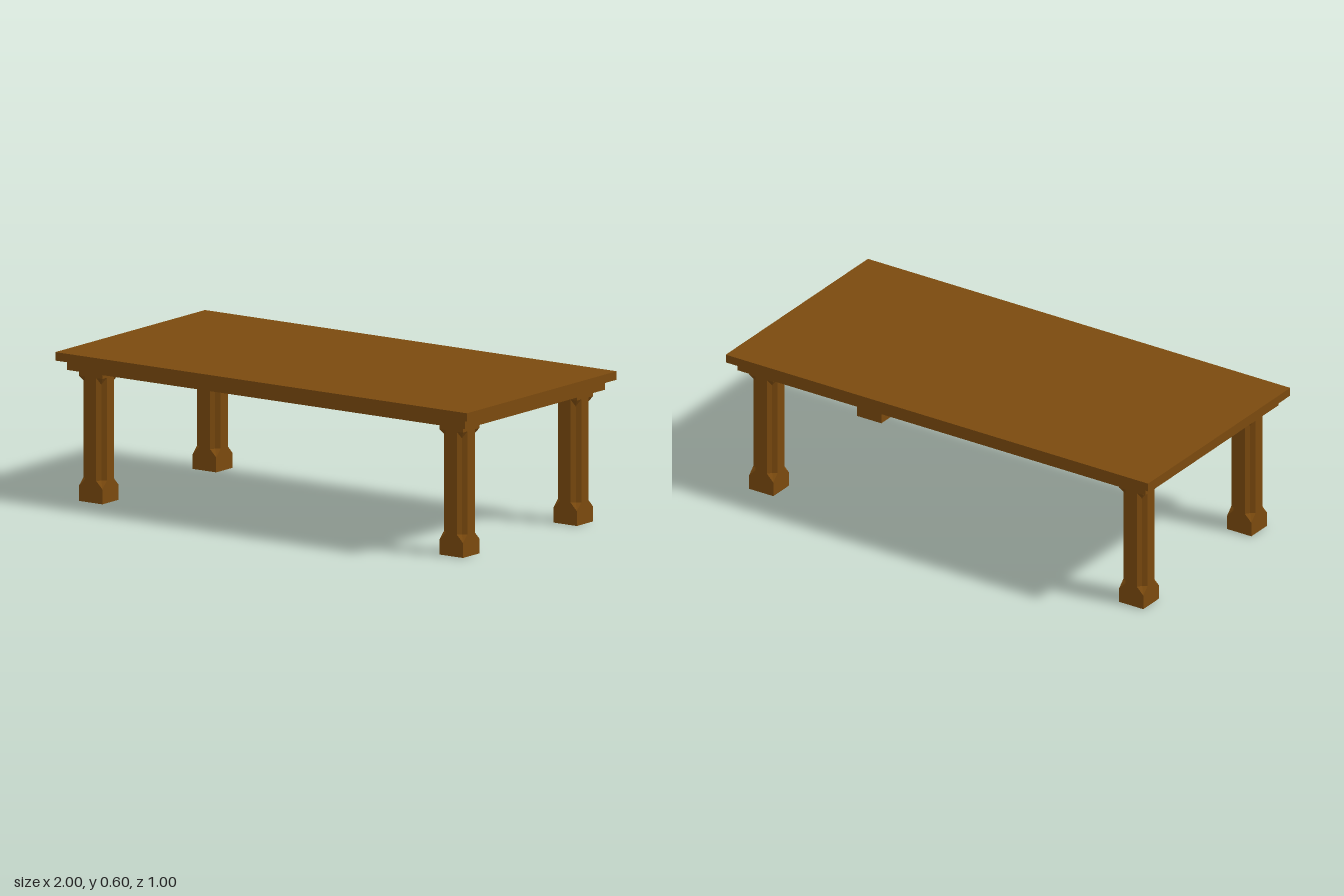
import * as THREE from 'three';

const wood = new THREE.MeshStandardMaterial({ color: 0x7b4a0e });
wood.name = 'brown wood';

const HX = 0.057, HZ = 0.0545; // half sizes of a leg
const CUT = 0.03; // width of the corner notch on each face

// Cross-section of a leg: square whose corners are notched in by depth d
function legSection(d) {
  const points = [];
  for (const [sx, sz] of [[1, 1], [1, -1], [-1, -1], [-1, 1]]) {
    const a = [sx * (HX - CUT), sz * HZ];
    const b = [sx * HX, sz * (HZ - CUT)];
    const corner = [sx * (HX - d), sz * (HZ - d)];
    points.push(...(sx * sz > 0 ? [a, corner, b] : [b, corner, a]));
  }
  return points;
}

// Leg lofted through its sections: square foot, notched shaft, square head
function legGeometry() {
  const levels = [[0, 0], [0.06, 0], [0.09, 0.018], [0.475, 0.018], [0.503, 0], [0.566, 0]];
  const rings = levels.map(([y, d]) => legSection(d).map(([x, z]) => [x, y, z]));
  const pos = [];
  const tri = (a, b, c) => pos.push(...a, ...b, ...c);
  const n = rings[0].length;
  for (let i = 0; i < n; i++) {
    const j = (i + 1) % n;
    for (let k = 0; k < rings.length - 1; k++) {
      const lo = rings[k], hi = rings[k + 1];
      // mirror the diagonal on alternate sides so the notch stops match
      if (i % 3 === 0) {
        tri(lo[i], lo[j], hi[i]);
        tri(lo[j], hi[j], hi[i]);
      } else {
        tri(lo[i], lo[j], hi[j]);
        tri(lo[i], hi[j], hi[i]);
      }
    }
    tri([0, 0, 0], rings[0][j], rings[0][i]);
    tri([0, 0.566, 0], rings[5][i], rings[5][j]);
  }
  const geo = new THREE.BufferGeometry();
  geo.setAttribute('position', new THREE.Float32BufferAttribute(pos, 3));
  // sections run clockwise seen from above, so flip every face outward
  const check = new THREE.Vector3(), a = new THREE.Vector3(), b = new THREE.Vector3();
  a.set(...rings[1][0]).sub(new THREE.Vector3(...rings[0][0]));
  b.set(...rings[0][2]).sub(new THREE.Vector3(...rings[0][0]));
  check.crossVectors(b, a);
  if (check.x + check.z < 0) {
    const p = geo.attributes.position;
    for (let i = 0; i < p.count; i += 3) {
      const x = p.getX(i), y = p.getY(i), z = p.getZ(i);
      p.setXYZ(i, p.getX(i + 1), p.getY(i + 1), p.getZ(i + 1));
      p.setXYZ(i + 1, x, y, z);
    }
  }
  geo.computeVertexNormals();
  return geo;
}

function rectangle(path, x, z) {
  path.moveTo(-x, -z);
  path.lineTo(x, -z);
  path.lineTo(x, z);
  path.lineTo(-x, z);
  path.closePath();
  return path;
}

export function createModel() {
  const model = new THREE.Group();
  model.name = 'table';
  const add = (geo, name) => {
    const mesh = new THREE.Mesh(geo, wood);
    mesh.name = name;
    model.add(mesh);
    return mesh;
  };

  // Table top
  add(new THREE.BoxGeometry(2, 0.034, 1), 'tableTop').position.y = 0.583;

  // Open apron frame under the top
  const frame = rectangle(new THREE.Shape(), 0.966, 0.467);
  frame.holes.push(rectangle(new THREE.Path(), 0.934, 0.435));
  const apron = new THREE.ExtrudeGeometry(frame, { depth: 0.039, bevelEnabled: false });
  apron.rotateX(-Math.PI / 2);
  add(apron, 'apron').position.y = 0.527;

  // Four legs in the corners of the frame
  const leg = legGeometry();
  for (const sx of [1, -1]) {
    for (const sz of [1, -1]) {
      const name = (sz > 0 ? 'front' : 'back') + (sx > 0 ? 'Left' : 'Right') + 'Leg';
      add(leg, name).position.set(sx * 0.876, 0, sz * 0.38);
    }
  }
  return model;
}
